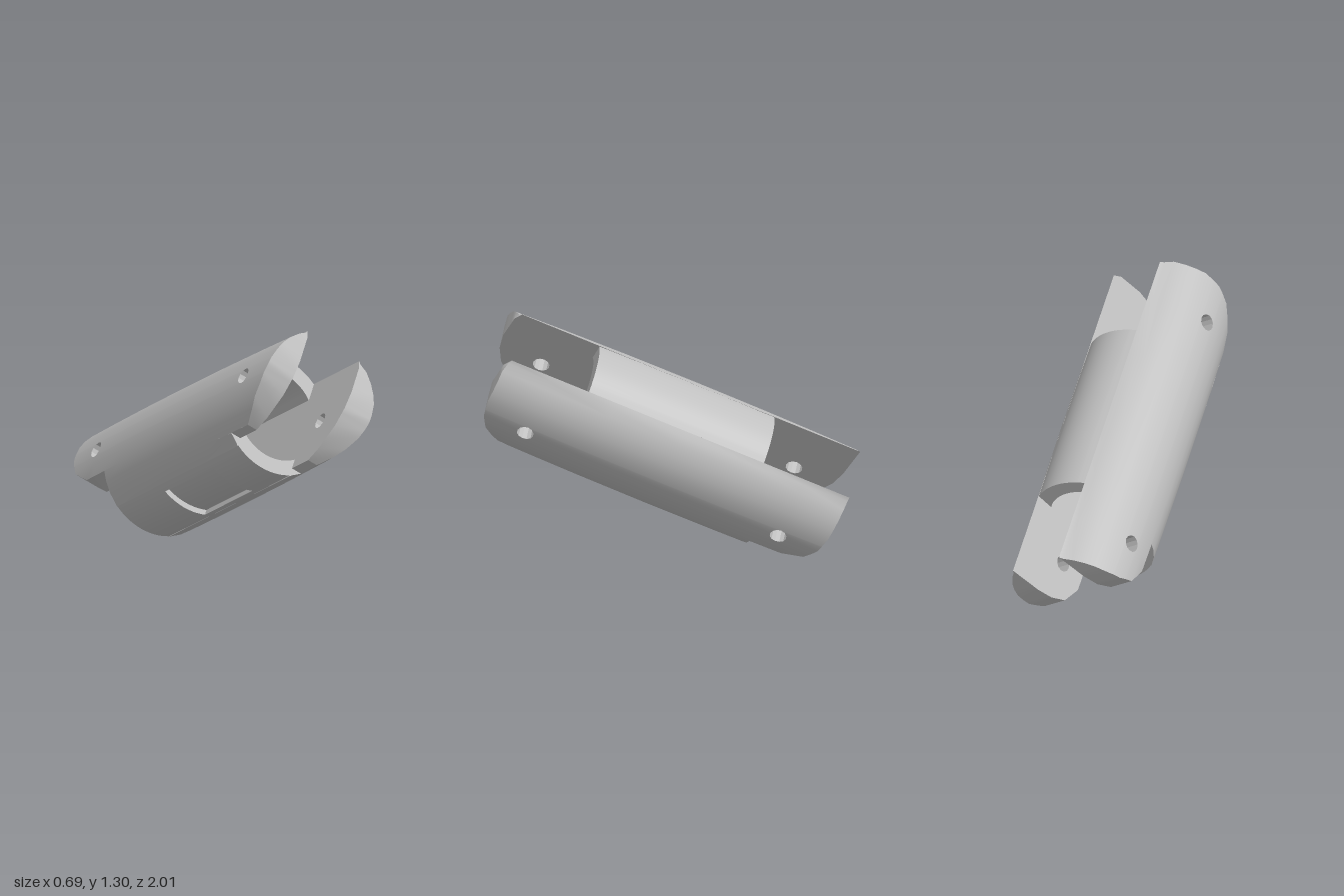
import * as THREE from 'three';
import { toCreasedNormals } from 'three/addons/utils/BufferGeometryUtils.js';

const INNER = 0.17;   // half the gap between the two side plates
const BORE = 0.26;    // radius of the hollow
const HOLE = 0.045;   // pin hole radius
const FRONT_HOLE = 0.77, REAR_HOLE = -0.69;

// Slightly barrelled outer radius along the axis
const radius = (a) => 0.345 - 0.012 * a * a;
const chord = (r, d) => Math.sqrt(Math.max(r * r - d * d, 0));

// Piecewise linear lookup in [x, y] pairs
function lerpTable(table, x) {
  for (let i = 1; i < table.length; i++) {
    const [x0, y0] = table[i - 1], [x1, y1] = table[i];
    if (x <= x1) return y0 + (y1 - y0) * Math.max(0, (x - x0) / (x1 - x0));
  }
  return table[table.length - 1][1];
}

// Curved slab made of strips between levels; each segment runs along the axis
// from a0 to a1, between an inner and an outer surface.
function slab(levels, segments, inner, place, flip) {
  const pos = [];
  const quad = (a, b, c, d) => {
    const list = flip ? [a, c, b, a, d, c] : [a, b, c, a, c, d];
    list.forEach((p) => pos.push(...p));
  };
  for (let i = 0; i + 1 < levels.length; i++) {
    const l0 = levels[i], l1 = levels[i + 1];
    for (const s of segments) {
      const corner = (l, end, out) => {
        const a = end ? s.a1(l) : s.a0(l);
        return place(l, out ? s.outer(l, a) : inner(l), a);
      };
      const o = [corner(l0, 0, 1), corner(l1, 0, 1), corner(l1, 1, 1), corner(l0, 1, 1)];
      const n = [corner(l0, 0, 0), corner(l1, 0, 0), corner(l1, 1, 0), corner(l0, 1, 0)];
      quad(o[0], o[1], o[2], o[3]);
      quad(n[3], n[2], n[1], n[0]);
      if (s.wall1) quad(n[3], o[3], o[2], n[2]);
      if (s.wall0) quad(n[1], o[1], o[0], n[0]);
    }
  }
  const g = new THREE.BufferGeometry();
  g.setAttribute('position', new THREE.Float32BufferAttribute(pos, 3));
  return toCreasedNormals(g, 0.5);
}

// End outlines of the ears, as [height across plate, position along axis]
const frontEnd = [[-0.3, 0.62], [-0.251, 0.62], [-0.25, 0.78], [-0.2, 0.86], [-0.09, 0.965],
  [0, 1.01], [0.1, 1.03], [0.25, 1.025], [0.3, 1.0]];
const rearEnd = [[-0.3, -0.58], [-0.151, -0.58], [-0.15, -0.76], [-0.09, -0.87], [0, -0.915],
  [0.1, -0.935], [0.3, -0.95]];

// Side plate with an ear and a pin hole at each end
function sidePlate(side) {
  const h = HOLE;
  const levels = [-0.3, -0.285, -0.251, -0.25, -0.2, -0.151, -0.15, -0.09, -h, -0.87 * h, -0.5 * h, 0,
    0.5 * h, 0.87 * h, h, 0.1, 0.15, 0.2, 0.25, 0.28, 0.3];
  const w = (t) => chord(h, t);
  // near the lower edge the hole line must stay within the outline
  const back = (t) => lerpTable(rearEnd, t);
  const front = (t) => lerpTable(frontEnd, t);
  const rear0 = (t) => Math.max(back(t), REAR_HOLE - w(t));
  const rear1 = (t) => Math.max(back(t), REAR_HOLE + w(t));
  const fore0 = (t) => Math.min(front(t), FRONT_HOLE - w(t));
  const fore1 = (t) => Math.min(front(t), FRONT_HOLE + w(t));
  const mids = [() => -0.4, () => 0, () => 0.4];
  const outer = (t, a) => Math.max(INNER, chord(radius(a), t));
  const segments = [
    { a0: back, a1: rear0, wall0: true, wall1: true },
    { a0: rear1, a1: mids[0], wall0: true },
    { a0: mids[0], a1: mids[1] },
    { a0: mids[1], a1: mids[2] },
    { a0: mids[2], a1: fore0, wall1: true },
    { a0: fore1, a1: front, wall0: true, wall1: true },
  ].map((s) => ({ ...s, outer }));
  return slab(levels, segments, () => INNER, (t, n, a) => [side * n, t, a], side < 0);
}

// Curved wall joining the plates; the lower one carries a shallow pocket
function bridge(side, rear, front, pocket) {
  const levels = [0.13, -0.13, 0.131, -0.131];
  for (let i = 0; i <= 12; i++) levels.push(INNER * (i / 6 - 1));
  levels.sort((a, b) => a - b);
  const outer = (n, a) => chord(radius(a), n);
  const sunk = (n, a) => outer(n, a) - (pocket && Math.abs(n) < 0.1305 ? 0.03 : 0);
  const at = [rear, -0.15, 0.32, front].map((v) => () => v);
  const segments = [
    { a0: at[0], a1: at[1], outer, wall0: true, wall1: pocket },
    { a0: at[1], a1: at[2], outer: sunk },
    { a0: at[2], a1: at[3], outer, wall0: pocket, wall1: true },
  ];
  return slab(levels, segments, (n) => chord(BORE, n), (n, t, a) => [n, side * t, a], side > 0);
}

export function createModel() {
  const grey = new THREE.MeshStandardMaterial({ color: 0xbfbfbf });
  grey.name = 'light grey';
  const model = new THREE.Group();
  model.name = 'jointLink';

  // Whole link is rolled about its axis and tilted with the front end up
  const link = new THREE.Group();
  link.name = 'tiltedLink';
  link.rotation.set(-0.412, 0, -0.611);
  link.position.y = 0.577;
  model.add(link);

  const add = (name, geometry) => {
    const mesh = new THREE.Mesh(geometry, grey);
    mesh.name = name;
    link.add(mesh);
  };
  add('leftSidePlate', sidePlate(1));
  add('rightSidePlate', sidePlate(-1));
  add('upperBridge', bridge(1, -0.457, 0.553, false));
  add('lowerBridge', bridge(-1, -0.58, 0.62, true));
  return model;
}
